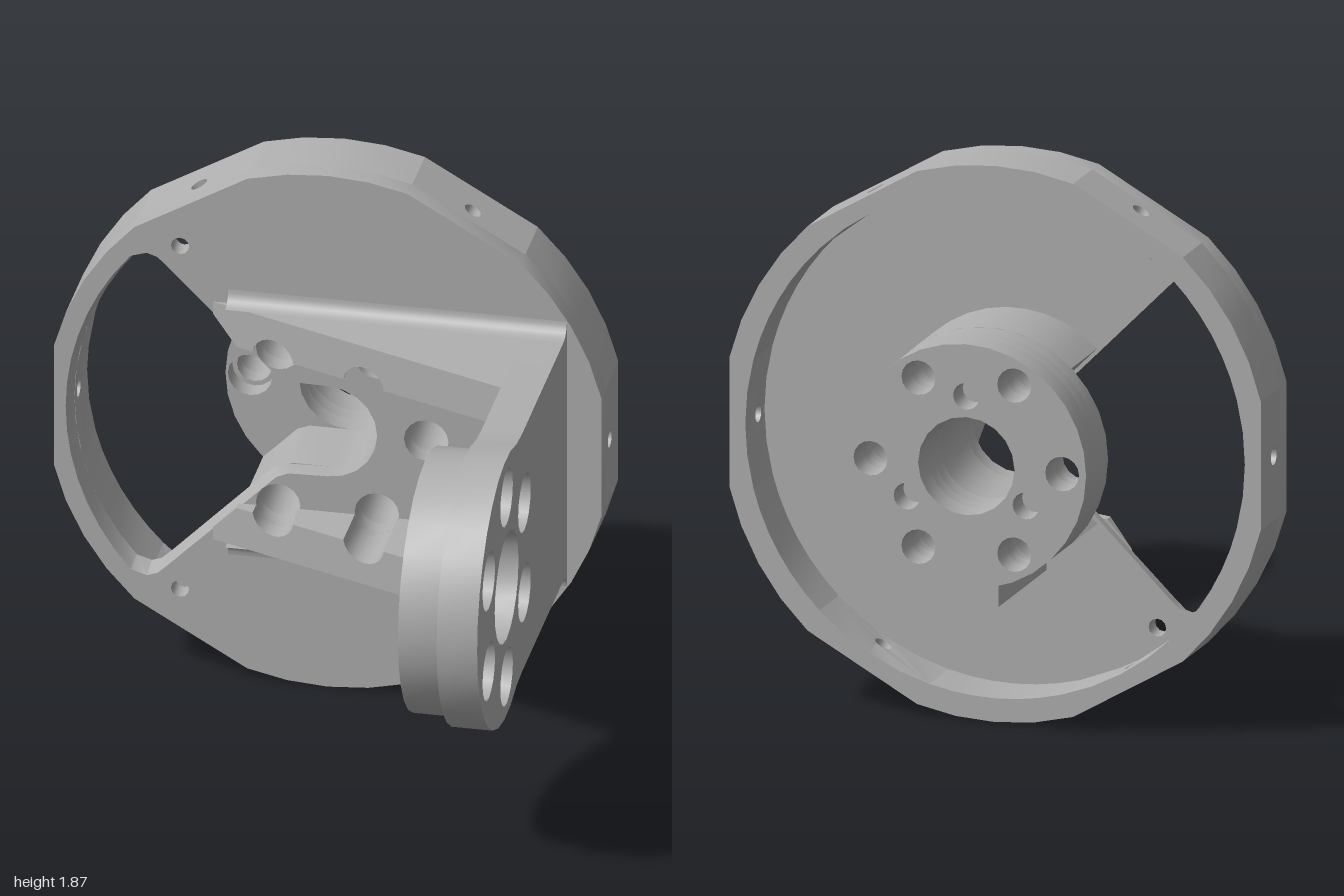
import * as THREE from 'three';
import { toCreasedNormals } from 'three/addons/utils/BufferGeometryUtils.js';

const RAD = Math.PI / 180;
const FRONT = -0.43, FLOOR = -0.5, BACK = -0.7, STEP = -0.77, END = -1;
const R_OUT = 0.935, R_IN = 0.855, FLAT = 13.4;

// points on an arc, angles in degrees
function arc(cx, cy, r, a0, a1, n) {
  return Array.from({ length: n + 1 }, (_, i) => {
    const a = (a0 + (a1 - a0) * i / n) * RAD;
    return new THREE.Vector2(cx + r * Math.cos(a), cy + r * Math.sin(a));
  });
}
const pt = (x, y) => new THREE.Vector2(x, y);
const ring = (cx, cy, r, n = 20) => arc(cx, cy, r, 0, 360, n).slice(0, -1);

// six positions around a circle, with holes of radius r
function boltHoles(cx, cy, radius, r, start = 0, count = 6) {
  return arc(cx, cy, radius, start, start + 360, count).slice(0, -1).map(p => ring(p.x, p.y, r, 16));
}

// extrude an outline with holes between two depths, optionally moving vertices
function slab(outline, holes, z0, z1, move) {
  const shape = new THREE.Shape(outline);
  shape.holes = holes.map(h => new THREE.Path(h));
  const g = new THREE.ExtrudeGeometry(shape, { depth: z1 - z0, bevelEnabled: false });
  g.translate(0, 0, z0);
  if (move) {
    const p = g.attributes.position;
    const v = new THREE.Vector3();
    for (let i = 0; i < p.count; i++) {
      v.fromBufferAttribute(p, i);
      move(v);
      p.setXYZ(i, v.x, v.y, v.z);
    }
  }
  return toCreasedNormals(g, 0.6);
}

export function createModel() {
  const root = new THREE.Group();
  root.name = 'bracket';
  const body = new THREE.Group();
  body.name = 'body';
  body.position.y = R_OUT;
  root.add(body);
  const grey = new THREE.MeshStandardMaterial({ color: 0xb0b0b0 });
  grey.name = 'grey';

  function add(name, geometry, parent = body) {
    const m = new THREE.Mesh(geometry, grey);
    m.name = name;
    parent.add(m);
    return m;
  }

  // round plate with six flats
  const plateOutline = [];
  for (let i = 0; i < 6; i++) plateOutline.push(...arc(0, 0, R_OUT, i * 60 + FLAT, i * 60 + 60 - FLAT, 4));

  // wedge opening that runs into the central bore
  const upper = [pt(-0.13, 0.168), pt(-0.17, 0.185), pt(-0.53, 0.545), pt(-0.565, 0.578), pt(-0.6, 0.59), pt(-0.65, 0.575)];
  const lower = upper.map(p => pt(p.x, -p.y)).reverse();
  const bore = arc(0, 0, 0.165, -90, 90, 10);
  const wedge = [...bore, ...upper, ...arc(0, 0, 0.87, 139, 221, 14), ...lower];
  const sideHoles = boltHoles(0, 0, 0.328, 0.074).filter((_, i) => i !== 3);
  const screwHoles = [1, -1].map(s => ring(-0.49, s * 0.627, 0.03, 12));
  add('plateFloor', slab(plateOutline, [wedge, ...sideHoles, ...screwHoles], FLOOR, FRONT, v => {
    // the opening narrows slightly towards the back
    const r = Math.hypot(v.x, v.y);
    const onScrew = Math.abs(Math.hypot(v.x + 0.49, Math.abs(v.y) - 0.627) - 0.03) < 0.004;
    const onBolt = Math.abs(Math.hypot(v.x + 0.164, Math.abs(v.y) - 0.284) - 0.074) < 0.004;
    if (v.z < FLOOR + 0.01 && v.x < -0.16 && r < 0.9 && !onScrew && !onBolt) {
      v.x = -0.55 + (v.x + 0.55) * 0.955;
      v.y *= 0.965;
    }
  }));

  // rim: alternating curved sectors and flats with a radial hole
  const half = R_OUT * Math.sin(FLAT * RAD);
  const apothem = R_OUT * Math.cos(FLAT * RAD);
  const innerAngle = Math.asin(half / R_IN) / RAD;
  const curved = slab([
    ...arc(0, 0, R_OUT, FLAT, 60 - FLAT, 4),
    ...arc(0, 0, R_IN, 60 - innerAngle, innerAngle, 6),
  ], [], BACK, FLOOR);
  const edge = [];
  for (let i = 0; i <= 4; i++) edge.push(pt(0.1, -half + half * i / 2));
  for (let i = 0; i <= 4; i++) edge.push(pt(-0.1, half - half * i / 2));
  const flat = slab(edge, [ring(0, 0, 0.03, 12)], 0, 1, v => {
    const z = -0.6 - v.x, t = v.y;
    // hole sits slightly ahead of the wall's middle
    const shift = Math.abs(v.x) < 0.05 ? 0.035 : 0;
    v.set(v.z > 0.5 ? apothem : Math.sqrt(R_IN * R_IN - t * t), t, z + shift);
  });
  for (let i = 0; i < 6; i++) {
    add('rimCurve', curved).rotation.z = i * 60 * RAD;
    add('rimFlat', flat).rotation.z = i * 60 * RAD;
  }

  // rear hub: front part is cut by the wedge, rear part is a full disc
  const hubR = 0.41;
  const cutHub = [...arc(0, 0, hubR, -134, 134, 28), pt(-0.17, 0.18), pt(-0.13, 0.165),
    ...arc(0, 0, 0.165, 90, -90, 10), pt(-0.13, -0.165), pt(-0.17, -0.18)];
  add('hubFront', slab(cutHub, sideHoles, STEP, FLOOR));
  const hub = ring(0, 0, hubR, 32);
  const centre = ring(0, 0, 0.165);
  const small = boltHoles(0, 0, 0.328, 0.058);
  add('hubCounterbores', slab(hub, [centre, ...boltHoles(0, 0, 0.328, 0.074)], -0.84, STEP));
  add('hubMiddle', slab(hub, [centre, ...small], -0.9, -0.84));
  add('hubEnd', slab(hub, [centre, ...small, ...boltHoles(0, 0, 0.235, 0.045, 90, 3)], END, -0.9));
  // key along the underside of the hub
  add('hubKey', slab([pt(-0.11, -0.465), pt(0.11, -0.465), pt(0.11, -0.392),
    ...arc(0, 0, 0.408, -75, -105, 4), pt(-0.11, -0.392)], [], END, FLOOR));

  // side arm, drawn with x as -z and extruded sideways
  const cz = -0.53;
  const armOutline = [pt(0.43, -0.435), pt(0.43, 0.435), pt(-0.28, 0.435),
    ...arc(cz, 0, 0.47, 70, 290, 18), pt(-0.28, -0.435)];
  const armBore = ring(cz, 0, 0.19, 20);
  add('arm', slab(armOutline, [armBore, ...boltHoles(cz, 0, 0.328, 0.1, 90)], 0.66, 0.795).rotateY(Math.PI / 2));
  add('armBoss', slab(ring(cz, 0, 0.437, 28), [armBore, ...boltHoles(cz, 0, 0.328, 0.065, 90)], 0.525, 0.66)
    .rotateY(Math.PI / 2));

  // sloping ribs, notched for screw access, with a fillet to the plate
  const notch = x => arc(x, 0.284, 0.074, 172, 8, 10);
  const rib = slab([pt(-0.295, 0.295), ...notch(-0.164), ...notch(0.164), pt(0.66, 0.295),
    pt(0.66, 0.435), pt(-0.38, 0.435), pt(-0.38, 0.39)], [], FRONT, 1, v => {
    if (v.z > 0) v.z = FRONT + (v.x + 0.381) * 0.39;
  });
  const fillet = slab([pt(0.43, 0.435), ...arc(0.38, 0.485, 0.05, 0, -90, 6)], [], -0.33, 0.795).rotateY(Math.PI / 2);
  for (const s of [1, -1]) {
    const side = new THREE.Group();
    side.name = s > 0 ? 'upperRib' : 'lowerRib';
    side.scale.y = s;
    body.add(side);
    add('rib', rib, side);
    add('ribFillet', fillet, side);
  }
  return root;
}
